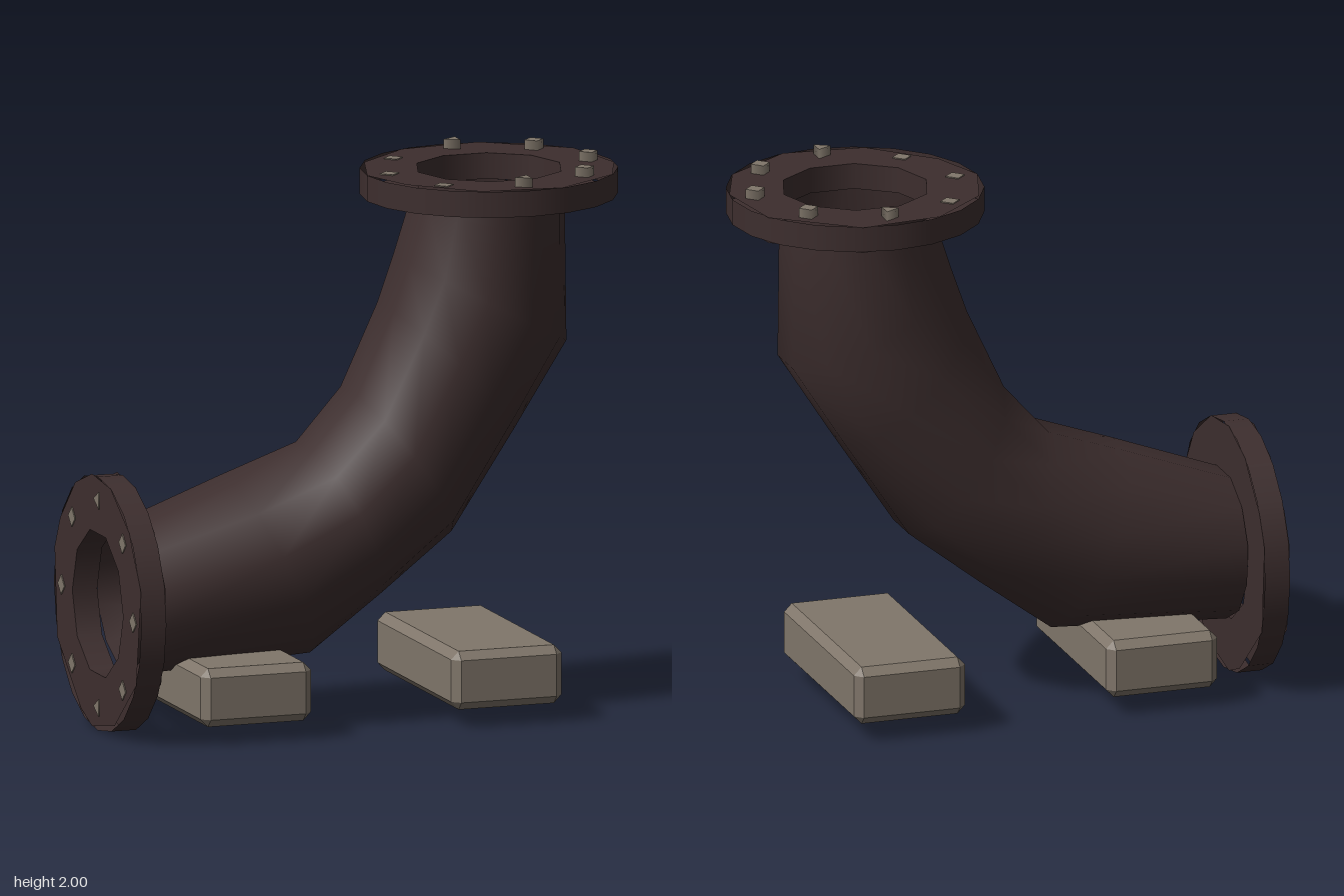
import * as THREE from 'three';
import { toCreasedNormals } from 'three/addons/utils/BufferGeometryUtils.js';
import { ConvexGeometry } from 'three/addons/geometries/ConvexGeometry.js';

const iron = new THREE.MeshStandardMaterial({ color: 0x3d2e2e, side: THREE.DoubleSide });
iron.name = 'dark iron';
const stone = new THREE.MeshStandardMaterial({ color: 0x80766a });
stone.name = 'grey stone';

const thickness = 0.095;
const boreRadius = 0.27;

function add(parent, name, geometry, material) {
  const mesh = new THREE.Mesh(geometry, material);
  mesh.name = name;
  parent.add(mesh);
  return mesh;
}

// Flange along +z: coarse faces front and back, round rim and bore wall
function makeFlange(name, outline) {
  const flange = new THREE.Group();
  flange.name = name;
  const shape = new THREE.Shape(outline.map(([x, y]) => new THREE.Vector2(x, y)));
  const bore = [];
  for (let i = 0; i < 10; i++) {
    const a = (-i / 10) * Math.PI * 2;
    bore.push(new THREE.Vector2(Math.cos(a) * boreRadius, Math.sin(a) * boreRadius));
  }
  shape.holes.push(new THREE.Path(bore));
  add(flange, 'outerFace', new THREE.ShapeGeometry(shape), iron).position.z = thickness;
  add(flange, 'innerFace', new THREE.ShapeGeometry(shape), iron);
  for (const [part, radius, sides] of [['rim', 0.465, 20], ['boreWall', boreRadius, 10]]) {
    const wall = add(flange, part, new THREE.CylinderGeometry(radius, radius, thickness, sides, 1, true, Math.PI / 2), iron);
    wall.rotation.x = Math.PI / 2;
    wall.position.z = thickness / 2;
  }
  return flange;
}

// Bolt ring on a flange; height is chosen per bolt
function addBolts(flange, heightAt) {
  for (let i = 0; i < 8; i++) {
    const a = (i / 8) * Math.PI * 2;
    const u = Math.cos(a) * 0.38, v = Math.sin(a) * 0.38;
    const height = heightAt(u);
    const sides = i === 2 || i === 6 ? 3 : 4;
    const bolt = add(flange, 'bolt', new THREE.CylinderGeometry(0.036, 0.036, height, sides, 1, false, -Math.PI / 2), stone);
    bolt.rotation.x = Math.PI / 2;
    bolt.position.set(u, v, thickness + height / 2);
  }
}

// Bent pipe: round sections running from the inner bend to the outer bend
function pipeGeometry() {
  const sections = [ // inner x, inner y, outer x, outer y, half width
    [-0.865, 0.74, -0.85, 0.21, 0.29],
    [-0.47, 0.885, -0.18, 0.25, 0.32],
    [-0.17, 0.99, 0.09, 0.45, 0.335],
    [0.0, 1.18, 0.36, 0.66, 0.335],
    [0.14, 1.48, 0.6, 1.02, 0.33],
    [0.2, 1.65, 0.8, 1.33, 0.325],
    [0.27, 1.87, 0.795, 1.86, 0.31],
  ];
  const n = 12;
  const reach = Math.cos(Math.PI / n);
  const vertices = [], index = [];
  for (const [ix, iy, ox, oy, w] of sections)
    for (let i = 0; i < n; i++) {
      const a = ((i + 0.5) / n) * Math.PI * 2;
      const t = 0.5 - (0.5 * Math.cos(a)) / reach;
      vertices.push(ix + (ox - ix) * t, iy + (oy - iy) * t, (w * Math.sin(a)) / reach);
    }
  for (let k = 0; k < sections.length - 1; k++)
    for (let i = 0; i < n; i++) {
      const a = k * n + i, b = k * n + (i + 1) % n;
      index.push(a, a + n, b, b, a + n, b + n);
    }
  // Wind the faces outward
  for (let i = 0; i < index.length; i += 3) [index[i + 1], index[i + 2]] = [index[i + 2], index[i + 1]];
  const geometry = new THREE.BufferGeometry();
  geometry.setAttribute('position', new THREE.Float32BufferAttribute(vertices, 3));
  geometry.setIndex(index);
  return toCreasedNormals(geometry, 0.9);
}

// Support block lying along z, with every edge chamfered
function blockGeometry() {
  const points = [];
  for (const sx of [-1, 1]) for (const sy of [-1, 1]) for (const sz of [-1, 1])
    for (const [x, y, z] of [[0.182, 0.077, 0.42], [0.211, 0.077, 0.39], [0.182, 0.107, 0.39]])
      points.push(new THREE.Vector3(sx * x, sy * y, sz * z));
  return new ConvexGeometry(points);
}

export function createModel() {
  const model = new THREE.Group();
  model.name = 'pipeElbow';

  add(model, 'bentPipe', pipeGeometry(), iron);

  // Upper flange, facing up, with raised bolts towards the outer bend
  const upper = makeFlange('upperFlange', [
    [0.125, 0.457], [-0.179, 0.425], [-0.39, 0.24], [-0.465, 0], [-0.39, -0.21],
    [-0.179, -0.42], [0.12, -0.452], [0.371, -0.28], [0.457, -0.06], [0.409, 0.238],
  ]);
  upper.rotation.x = -Math.PI / 2;
  upper.position.set(0.535, 1.87, 0);
  addBolts(upper, (u) => (u > -0.1 ? 0.035 : 0.004));
  model.add(upper);

  // Lower flange, facing -x, with flush bolts
  const lower = makeFlange('lowerFlange', [
    [0.18, -0.415], [0.41, -0.225], [0.46, 0.125], [0.335, 0.32], [0.14, 0.445],
    [-0.06, 0.465], [-0.24, 0.4], [-0.4, 0.24], [-0.458, 0.125], [-0.43, -0.2],
    [-0.18, -0.415], [-0.06, -0.46],
  ]);
  lower.rotation.y = -Math.PI / 2;
  lower.position.set(-0.865, 0.465, 0);
  addBolts(lower, () => 0.004);
  model.add(lower);

  // Two support blocks
  for (const [name, x] of [['rightBlock', -0.497], ['leftBlock', 0.461]])
    add(model, name, blockGeometry(), stone).position.set(x, 0.173, 0);

  return model;
}
